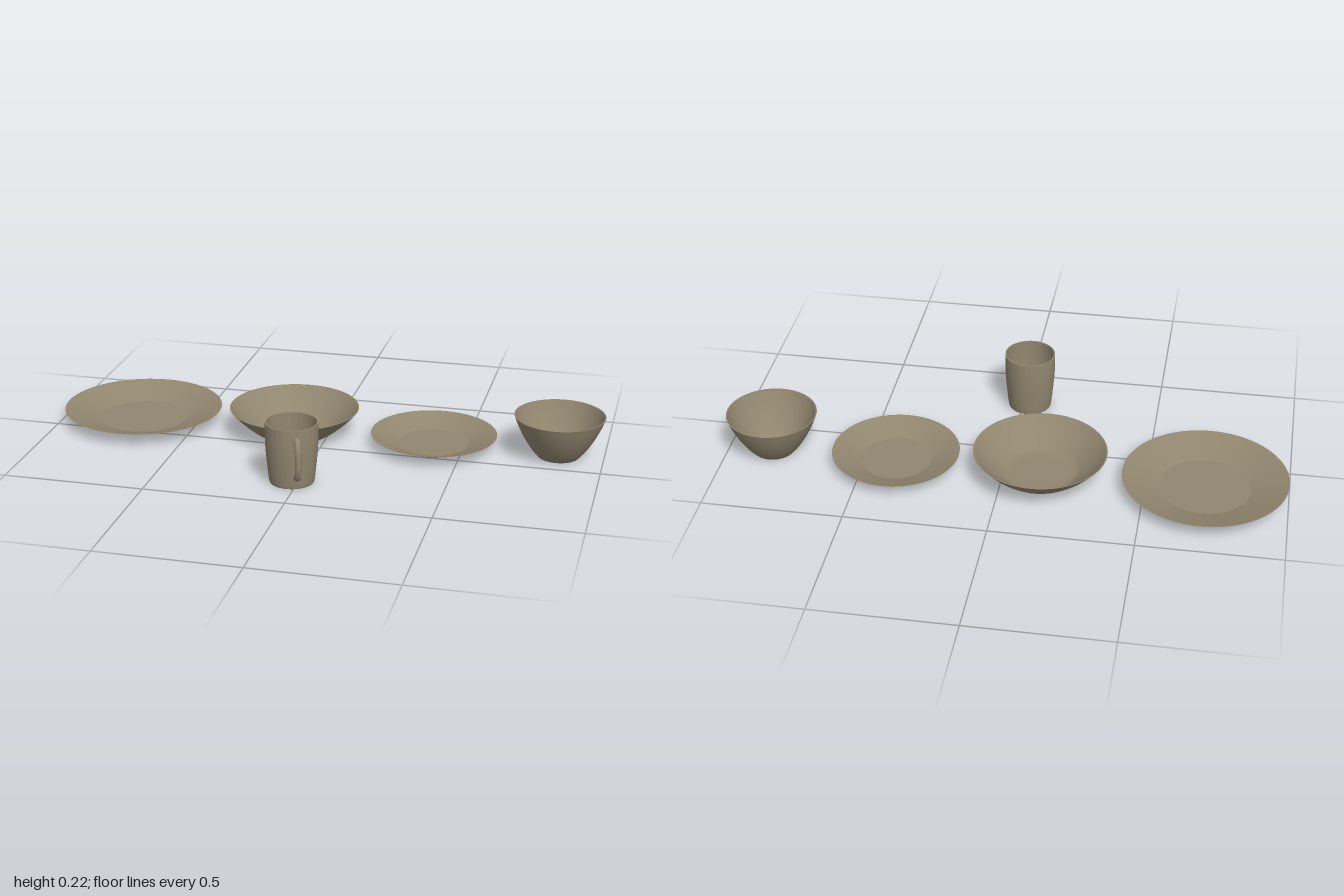
import * as THREE from 'three';
import { toCreasedNormals } from 'three/addons/utils/BufferGeometryUtils.js';

const stoneware = new THREE.MeshStandardMaterial({ color: 0x91866f });
stoneware.name = 'stoneware';

// Smooth side curve from foot to rim through a few [radius, height] points
function curve(points, steps) {
  return new THREE.SplineCurve(points.map(([r, y]) => new THREE.Vector2(r, y))).getPoints(steps);
}

// Closed, thin-walled vessel: underside, outer wall, rim, inner wall, floor
function vessel(name, outer, inner, x, z, steps = 10) {
  const profile = [
    new THREE.Vector2(0, 0),
    ...curve(outer, steps),
    ...curve(inner, steps).reverse(),
    new THREE.Vector2(0, inner[0][1]),
  ];
  const geometry = toCreasedNormals(new THREE.LatheGeometry(profile, 72), 0.25);
  const mesh = new THREE.Mesh(geometry, stoneware);
  mesh.name = name;
  mesh.position.set(x, 0, z);
  return mesh;
}

export function createModel() {
  const group = new THREE.Group();
  group.name = 'dinnerware';
  const rowZ = -0.134;

  // Row of plates and bowls
  group.add(vessel('dinnerPlate',
    [[0.148, 0], [0.291, 0.048]],
    [[0.16, 0.007], [0.288, 0.048]], -0.709, rowZ, 1));
  group.add(vessel('pastaBowl',
    [[0.125, 0], [0.158, 0.022], [0.199, 0.057], [0.236, 0.097]],
    [[0.06, 0.006], [0.122, 0.009], [0.156, 0.029], [0.196, 0.061], [0.232, 0.097]], -0.128, rowZ, 16));
  group.add(vessel('sidePlate',
    [[0.13, 0], [0.227, 0.042]],
    [[0.126, 0.006], [0.224, 0.042]], 0.39, rowZ, 1));
  group.add(vessel('cerealBowl',
    [[0.074, 0], [0.099, 0.03], [0.126, 0.073], [0.147, 0.116], [0.161, 0.152]],
    [[0.03, 0.006], [0.07, 0.009], [0.096, 0.036], [0.122, 0.077], [0.143, 0.118], [0.157, 0.152]], 0.839, rowZ, 18));

  // Mug with handle turned a little toward +x
  const mug = new THREE.Group();
  mug.name = 'mug';
  mug.position.set(-0.024, 0, 0.308);
  mug.rotation.y = 0.44;
  mug.add(vessel('mugBody',
    [[0.075, 0], [0.078, 0.005], [0.083, 0.045], [0.089, 0.11], [0.0915, 0.16], [0.0915, 0.217]],
    [[0.073, 0.007], [0.078, 0.045], [0.084, 0.11], [0.0865, 0.16], [0.0865, 0.217]], 0, 0, 20));

  const path = new THREE.CatmullRomCurve3([
    [0.184, 0.087], [0.178, 0.1], [0.155, 0.112], [0.115, 0.117],
    [0.075, 0.113], [0.05, 0.1], [0.044, 0.08],
  ].map(([y, z]) => new THREE.Vector3(0, y, z)));
  const handle = new THREE.Mesh(new THREE.TubeGeometry(path, 36, 0.011, 12), stoneware);
  handle.name = 'mugHandle';
  mug.add(handle);
  group.add(mug);

  return group;
}
